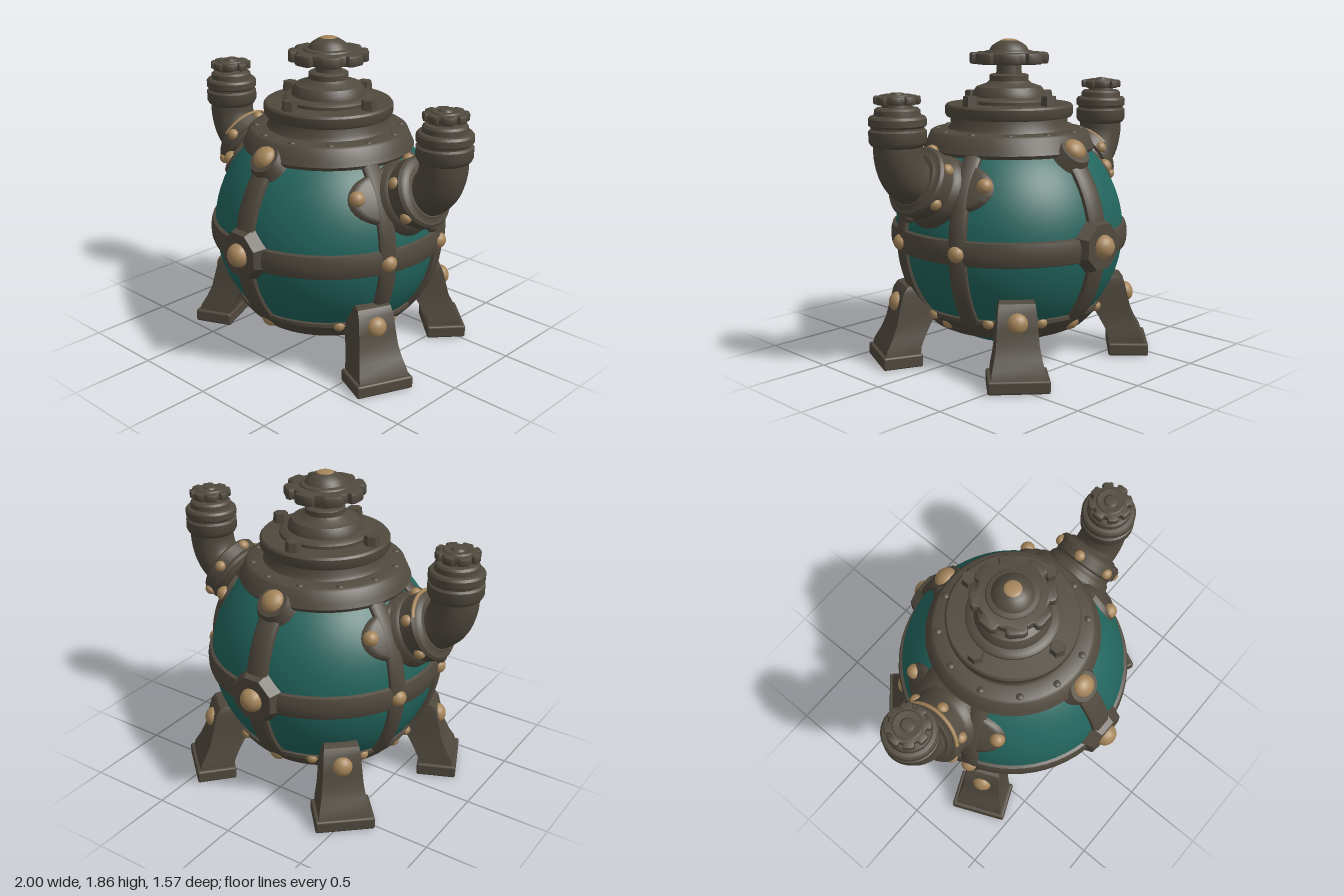
import * as THREE from 'three';
import { toCreasedNormals } from 'three/addons/utils/BufferGeometryUtils.js';
import { RoundedBoxGeometry } from 'three/addons/geometries/RoundedBoxGeometry.js';

const iron = new THREE.MeshStandardMaterial({ color: 0x50493e });
const teal = new THREE.MeshStandardMaterial({ color: 0x22655d });
const brass = new THREE.MeshStandardMaterial({ color: 0xa5855a });
iron.name = 'dark iron';
teal.name = 'teal shell';
brass.name = 'worn brass';

const CY = 0.735; // height of the tank's centre
const R = 0.675; // tank radius
const rad = THREE.MathUtils.degToRad;

function add(parent, name, geo, mat = iron) {
  const mesh = new THREE.Mesh(geo, mat);
  mesh.name = name;
  parent.add(mesh);
  return mesh;
}

// Turned part from [radius, height] pairs, listed from bottom to top
function lathe(points, seg = 48, start = 0, length = Math.PI * 2) {
  const pts = points.map(([r, y]) => new THREE.Vector2(r, y));
  return toCreasedNormals(new THREE.LatheGeometry(pts, seg, start, length), 0.65);
}

// Direction from azimuth (0 = front, 90 = left) and elevation, in degrees
function direction(az, el) {
  const a = rad(az), e = rad(el);
  return new THREE.Vector3(Math.sin(a) * Math.cos(e), Math.sin(e), Math.cos(a) * Math.cos(e));
}

// Domed rivet standing on a point, facing along a normal
function rivet(parent, name, pos, normal, r, h = r * 0.8, mat = brass) {
  const geo = new THREE.SphereGeometry(r, 16, 6, 0, Math.PI * 2, 0, Math.PI / 2).scale(1, h / r, 1);
  const mesh = add(parent, name, geo, mat);
  mesh.position.copy(pos);
  mesh.quaternion.setFromUnitVectors(new THREE.Vector3(0, 1, 0), normal.clone().normalize());
  return mesh;
}

function tankRivet(parent, name, az, el, dist, r, h, mat) {
  const d = direction(az, el);
  return rivet(parent, name, d.clone().multiplyScalar(dist).add(new THREE.Vector3(0, CY, 0)), d, r, h, mat);
}

// Lobed hand wheel, lying flat with its underside at y = 0
function handWheel(r, inner, lobes, height) {
  const shape = new THREE.Shape();
  for (let i = 0; i < lobes; i++) {
    [[-0.34, r * 0.96], [-0.2, r], [0.2, r], [0.34, r * 0.96], [0.38, inner], [0.62, inner]].forEach(([f, d], k) => {
      const a = ((i + f) / lobes) * Math.PI * 2;
      const x = d * Math.sin(a), y = d * Math.cos(a);
      if (i + k === 0) shape.moveTo(x, y);
      else shape.lineTo(x, y);
    });
  }
  const bevel = height * 0.2;
  const geo = new THREE.ExtrudeGeometry(shape, {
    depth: height - 2 * bevel, bevelEnabled: true, bevelThickness: bevel, bevelSize: bevel, bevelOffset: -bevel, bevelSegments: 2,
  });
  return toCreasedNormals(geo.rotateX(-Math.PI / 2).translate(0, bevel, 0), 0.7);
}

function tank(body) {
  add(body, 'tankShell', new THREE.SphereGeometry(R, 64, 40), teal).position.y = CY;

  // Equator strap and lower ring
  add(body, 'equatorStrap', lathe([[0.65, 0.645], [0.688, 0.66], [0.698, 0.69], [0.7, 0.725], [0.698, 0.76], [0.69, 0.79], [0.65, 0.805]], 64));
  add(body, 'lowerRing', lathe([[0.38, 0.2], [0.42, 0.18], [0.46, 0.2], [0.51, 0.25], [0.545, 0.295], [0.545, 0.315], [0.5, 0.33]], 64));

  // Upright straps
  for (const [az, w] of [[0, 0.07], [180, 0.07], [72, 0.055], [110, 0.055], [-72, 0.055], [-110, 0.055]]) {
    const o = 0.705;
    const strap = lathe([[0.64, -w], [o - 0.015, -w + 0.005], [o, -w + 0.025], [o, w - 0.025], [o - 0.015, w - 0.005], [0.64, w]], 28, rad(-46), rad(94));
    add(body, 'uprightStrap', strap.rotateZ(Math.PI / 2).rotateY(rad(az))).position.y = CY;
    if (w < 0.06) tankRivet(body, 'strapRivet', az, -1, 0.69, 0.048, 0.045);
  }

  // Front and back crossings: octagonal boss, collar tab and rivets
  for (const az of [0, 180]) {
    const boss = new THREE.CylinderGeometry(0.135, 0.168, 0.08, 8).rotateY(Math.PI / 8).rotateX(Math.PI / 2);
    boss.translate(0, 0, 0.685).rotateY(rad(az));
    add(body, 'octagonBoss', toCreasedNormals(boss, 0.5)).position.y = CY;
    tankRivet(body, 'bossRivet', az, 0, 0.72, 0.07, 0.065);
    const tab = new THREE.CylinderGeometry(0.09, 0.125, 0.07, 24).rotateX(Math.PI / 2).translate(0, 0, 0.695);
    add(body, 'collarTab', toCreasedNormals(tab.rotateX(rad(-45)).rotateY(rad(az)), 0.5)).position.y = CY;
    tankRivet(body, 'collarRivet', az, 45.5, 0.725, 0.068, 0.05);
    tankRivet(body, 'ringRivet', az, -44, 0.68, 0.052, 0.045);
  }
  for (const az of [90, -90]) tankRivet(body, 'ringRivet', az, -44, 0.68, 0.042, 0.04);

  // Drain nub below
  add(body, 'drainNub', lathe([[0, 0.062], [0.035, 0.065], [0.07, 0.082], [0.12, 0.1], [0.12, 0.12]], 32));
  rivet(body, 'drainTip', new THREE.Vector3(0, 0.066, 0), new THREE.Vector3(0, -1, 0), 0.032, 0.008);
}

function lid(body) {
  add(body, 'collar', lathe([[0.45, 1.21], [0.49, 1.215], [0.5, 1.235], [0.488, 1.26], [0.46, 1.325], [0.445, 1.335], [0.36, 1.34], [0.345, 1.36], [0.34, 1.43]], 64));
  add(body, 'lidFlange', lathe([[0.33, 1.405], [0.365, 1.41], [0.374, 1.425], [0.374, 1.47], [0.364, 1.482], [0.26, 1.488]], 64));
  add(body, 'lidDome', lathe([[0.262, 1.48], [0.262, 1.505], [0.245, 1.52], [0.215, 1.525], [0.21, 1.55], [0.19, 1.58], [0.13, 1.6], [0.115, 1.615],
    [0.115, 1.645], [0.105, 1.652], [0.075, 1.655], [0.07, 1.715], [0, 1.715]]));
  add(body, 'mainWheel', handWheel(0.232, 0.195, 8, 0.065)).position.y = 1.712;
  add(body, 'wheelHub', lathe([[0.15, 1.77], [0.14, 1.785], [0.115, 1.79], [0.1, 1.815], [0.07, 1.835], [0.05, 1.845], [0, 1.85]], 32));
  rivet(body, 'hubCap', new THREE.Vector3(0, 1.843, 0), new THREE.Vector3(0, 1, 0), 0.05, 0.012);
  for (let i = 0; i < 4; i++) {
    const a = i * Math.PI / 2;
    const nut = add(body, 'flangeNut', toCreasedNormals(new THREE.CylinderGeometry(0.042, 0.048, 0.06, 6), 0.4));
    nut.position.set(Math.sin(a) * 0.312, 1.51, Math.cos(a) * 0.312);
  }
  for (let i = 0; i < 12; i++) {
    const a = (i + 0.5) * Math.PI / 6;
    rivet(body, 'collarStud', new THREE.Vector3(Math.sin(a) * 0.42, 1.332, Math.cos(a) * 0.42), new THREE.Vector3(0, 1, 0), 0.022, 0.014, iron);
  }
}

// Side spout on +x; turned half round for the other side
function spout(body, name, turn) {
  const arm = new THREE.Group();
  arm.name = name;
  arm.rotation.y = turn;
  body.add(arm);
  const tilt = rad(27);
  const N = new THREE.Vector3(Math.cos(tilt), Math.sin(tilt), 0);
  const B = new THREE.Vector3(-Math.sin(tilt), Math.cos(tilt), 0);
  const T = new THREE.Vector3(0, 0, -1);
  const C = new THREE.Vector3(0, CY, 0);
  const onTank = (u, v, r) => N.clone().multiplyScalar(R).addScaledVector(T, u).addScaledVector(B, v).setLength(r).add(C);

  // Eared saddle plate wrapped over the tank
  const plate = new THREE.RingGeometry(0.01, 1, 64, 10);
  const p = plate.attributes.position;
  for (let i = 0; i < p.count; i++) {
    const rho = Math.hypot(p.getX(i), p.getY(i));
    const a = Math.atan2(p.getY(i), Math.abs(p.getX(i)));
    const reach = rho * (0.23 + 0.21 * Math.max(0, Math.cos(a - 0.22)) ** 7);
    const q = onTank(Math.sign(p.getX(i)) * Math.cos(a) * reach, Math.sin(a) * reach, rho > 0.95 ? 0.66 : 0.708 - 0.012 * rho);
    p.setXYZ(i, q.x, q.y, q.z);
  }
  plate.computeVertexNormals();
  add(arm, 'saddlePlate', plate);
  for (const s of [-1, 1]) {
    const q = onTank(s * 0.345, 0.09, 0.69);
    rivet(arm, 'saddleRivet', q, q.clone().sub(C), 0.045, 0.045);
  }

  // Tilted coupling with studs round its rim
  const coupling = new THREE.Group();
  coupling.name = 'coupling';
  coupling.position.copy(C);
  coupling.quaternion.setFromUnitVectors(new THREE.Vector3(0, 1, 0), N);
  arm.add(coupling);
  add(coupling, 'couplingRing', lathe([[0.215, 0.64], [0.2, 0.7], [0.185, 0.715], [0.185, 0.735], [0.2, 0.745], [0.203, 0.81], [0.19, 0.825], [0.165, 0.828], [0.15, 0.84], [0.1, 0.84]], 40));
  for (let i = 0; i < 6; i++) {
    const d = new THREE.Vector3(Math.cos(i * Math.PI / 3), 0, Math.sin(i * Math.PI / 3));
    rivet(coupling, 'couplingStud', d.clone().multiplyScalar(0.198).setY(0.775), d, 0.033, 0.028, i === 0 ? iron : brass);
  }
  if (turn) {
    const wear = new THREE.TorusGeometry(0.195, 0.011, 8, 24, 2.2).rotateX(Math.PI / 2).rotateY(2.1 + Math.PI / 2 - 1.1 + Math.PI / 2);
    add(coupling, 'wornEdge', wear, brass).position.y = 0.818;
  }

  // Elbow pipe, head and small wheel
  const path = new THREE.CatmullRomCurve3([[0.62, 1.04], [0.72, 1.085], [0.8, 1.145], [0.84, 1.24], [0.845, 1.36]].map(([x, y]) => new THREE.Vector3(x, y, 0)));
  add(arm, 'elbowPipe', new THREE.TubeGeometry(path, 24, 0.132, 32));
  const head = lathe([[0.125, 1.3], [0.145, 1.315], [0.155, 1.335], [0.155, 1.39], [0.143, 1.4], [0.143, 1.41], [0.155, 1.42], [0.155, 1.455], [0.145, 1.468],
    [0.125, 1.472], [0.122, 1.5], [0.11, 1.512], [0.08, 1.515], [0.075, 1.54], [0, 1.54]], 32);
  add(arm, 'spoutHead', head).position.x = 0.845;
  add(arm, 'spoutWheel', handWheel(0.125, 0.1, 8, 0.045)).position.set(0.845, 1.53, 0);
  add(arm, 'spoutWheelHub', lathe([[0.085, 1.572], [0.075, 1.582], [0.04, 1.58], [0.03, 1.59], [0, 1.592]], 24)).position.x = 0.845;
}

function leg(body, az) {
  const g = new THREE.Group();
  g.name = 'leg';
  g.rotation.y = rad(az);
  body.add(g);
  // Bowed shin: [height, inner reach, outer reach, half width]
  const rows = [[0.06, 0.605, 0.815, 0.15], [0.11, 0.6, 0.8, 0.145], [0.17, 0.57, 0.765, 0.13], [0.24, 0.53, 0.735, 0.118],
    [0.32, 0.48, 0.715, 0.112], [0.42, 0.46, 0.69, 0.105], [0.455, 0.46, 0.665, 0.1], [0.465, 0.46, 0.63, 0.095]];
  const shin = new THREE.BoxGeometry(2, 1, 1, 1, rows.length - 1, 1);
  const p = shin.attributes.position;
  for (let i = 0; i < p.count; i++) {
    const [y, inner, outer, half] = rows[Math.round((p.getY(i) + 0.5) * (rows.length - 1))];
    p.setXYZ(i, p.getX(i) * half, y, p.getZ(i) > 0 ? outer : inner);
  }
  add(g, 'shin', toCreasedNormals(shin, 0.6));
  add(g, 'foot', new RoundedBoxGeometry(0.34, 0.075, 0.235, 2, 0.012)).position.set(0, 0.0375, 0.713);
  rivet(g, 'legRivet', new THREE.Vector3(0, 0.355, 0.7), new THREE.Vector3(0, 0.25, 1), 0.058, 0.045);
  for (const s of [-16, 16]) tankRivet(body, 'legStud', az + s, -39, 0.69, 0.033, 0.03);
}

export function createModel() {
  const model = new THREE.Group();
  model.name = 'pressureTank';
  const body = new THREE.Group();
  body.name = 'tankBody';
  body.position.z = -0.02;
  model.add(body);
  tank(body);
  lid(body);
  spout(body, 'leftSpout', 0);
  spout(body, 'rightSpout', Math.PI);
  for (const az of [66, -66, 138, -138]) leg(body, az);
  return model;
}
